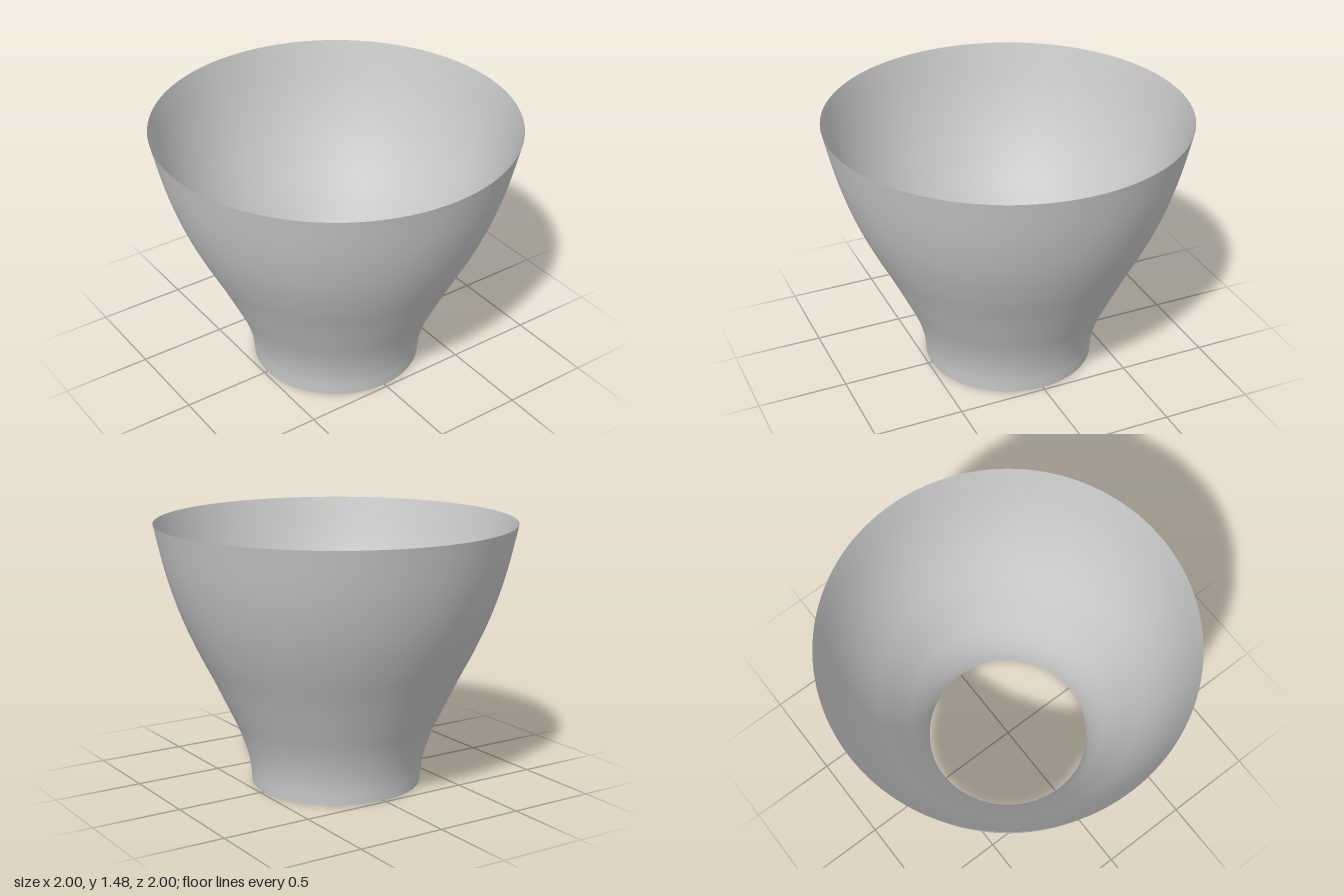
import * as THREE from 'three';

// Open flared sleeve: a thin surface of revolution, narrow at the foot
export function createModel() {
  const group = new THREE.Group();
  group.name = 'flaredSleeve';

  // Radius and height along the wall, from foot to rim
  const profile = new THREE.SplineCurve([
    [0.478, 0], [0.487, 0.1], [0.51, 0.2], [0.545, 0.3], [0.59, 0.4],
    [0.685, 0.6], [0.785, 0.8], [0.87, 1.0], [0.94, 1.22], [1, 1.48],
  ].map(([r, y]) => new THREE.Vector2(r, y)));

  const wall = new THREE.Mesh(
    new THREE.LatheGeometry(profile.getPoints(60), 128),
    new THREE.MeshStandardMaterial({ color: 0xcccccc, side: THREE.DoubleSide }),
  );
  wall.name = 'wall';
  group.add(wall);
  return group;
}
